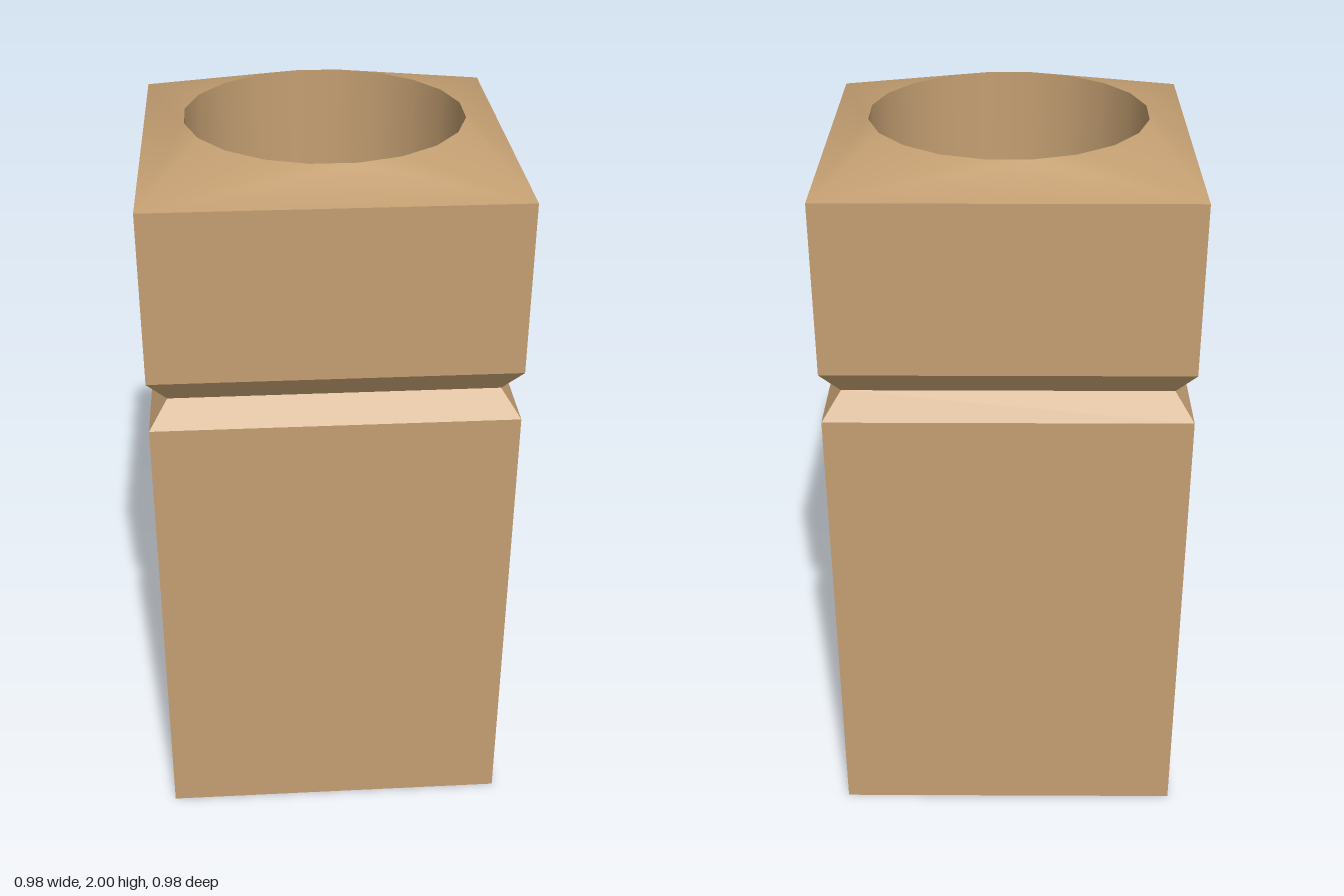
import * as THREE from 'three';

const HALF = 0.49, SHOULDER = 1.93, TOP = 2, BORE = 0.377, FLOOR = 0.6, SIDES = 20;
const STEP = (Math.PI * 2) / SIDES;

export function createModel() {
  const group = new THREE.Group();
  const wood = new THREE.MeshStandardMaterial({ color: 0xc49f72 });
  wood.name = 'wood';
  const add = (name, geometry) => {
    const mesh = new THREE.Mesh(geometry, wood);
    mesh.name = name;
    group.add(mesh);
    return mesh;
  };

  // Square post with a V groove, closed underneath
  const profile = [[0, 0], [HALF, 0], [HALF, 1.32], [0.44, 1.39], [HALF, 1.46], [HALF, SHOULDER]]
    .map(([half, y]) => new THREE.Vector2(half * Math.SQRT2, y));
  const post = new THREE.LatheGeometry(profile, 4, Math.PI / 4).toNonIndexed();
  post.computeVertexNormals();
  add('post', post);

  // Softly shaded top, blending the square shoulder into the round rim
  const positions = [], index = [];
  const ring = i => 4 + (i % SIDES);
  const push = (r, y, a) => positions.push(r * Math.sin(a), y, r * Math.cos(a));
  for (let k = 0; k < 4; k++) push(HALF * Math.SQRT2, SHOULDER, Math.PI / 4 + k * Math.PI / 2);
  for (let i = 0; i < SIDES; i++) push(BORE, TOP, (i + 0.5) * STEP);
  for (let k = 0; k < 4; k++) {
    const first = 5 * k, next = (k + 1) % 4;
    for (let i = first; i < first + 4; i++) index.push(k, ring(i + 1), ring(i));
    index.push(k, next, ring(first + 5), k, ring(first + 5), ring(first + 4));
  }
  const rim = new THREE.BufferGeometry();
  rim.setAttribute('position', new THREE.Float32BufferAttribute(positions, 3));
  rim.setIndex(index);
  rim.computeVertexNormals();
  add('topRim', rim);

  // Round bore: inward-facing wall and flat floor
  const wall = [new THREE.Vector2(BORE, TOP), new THREE.Vector2(BORE, FLOOR)];
  add('boreWall', new THREE.LatheGeometry(wall, SIDES, STEP / 2));
  const floor = add('boreFloor', new THREE.CircleGeometry(BORE, SIDES, STEP / 2));
  floor.rotation.x = -Math.PI / 2;
  floor.position.y = FLOOR;

  return group;
}
